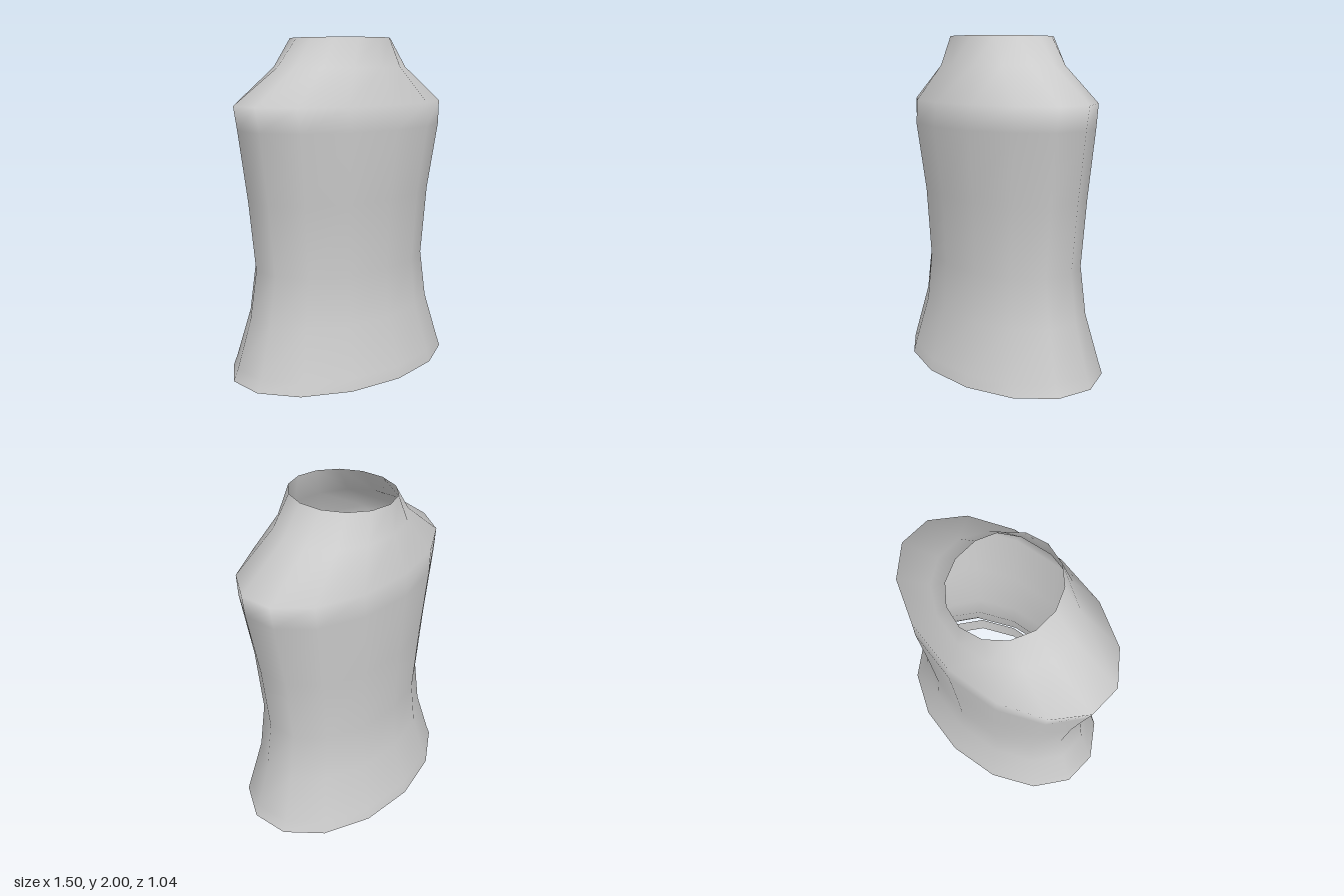
import * as THREE from 'three';

const SIDES = 14;
// A ring vertex sits just off the x axis, so the half-width is a little less than the ellipse radius.
const WIDEST = Math.cos(Math.PI / SIDES);

// Open shell lofted through elliptical rings: [y, half width, front z, back depth]
function loft(rings) {
  const positions = [], index = [];
  for (const [y, halfWidth, front, back] of rings) {
    const rx = halfWidth / WIDEST, rz = (front + back) / 2, cz = (front - back) / 2;
    for (let j = 0; j < SIDES; j++) {
      const a = (j / SIDES) * Math.PI * 2;
      positions.push(rx * Math.sin(a), y, cz + rz * Math.cos(a));
    }
  }
  for (let r = 0; r < rings.length - 1; r++) {
    for (let j = 0; j < SIDES; j++) {
      const k = (j + 1) % SIDES;
      const a = r * SIDES + j, b = r * SIDES + k;
      index.push(a, b, b + SIDES, a, b + SIDES, a + SIDES);
    }
  }
  const geometry = new THREE.BufferGeometry();
  geometry.setAttribute('position', new THREE.Float32BufferAttribute(positions, 3));
  geometry.setIndex(index);
  geometry.computeVertexNormals();
  return geometry;
}

export function createModel() {
  const group = new THREE.Group();
  group.name = 'sleevelessTop';

  const cloth = new THREE.MeshStandardMaterial({ color: 0xcccccc, side: THREE.DoubleSide });
  cloth.name = 'light grey cloth';

  const add = (name, rings) => {
    const mesh = new THREE.Mesh(loft(rings), cloth);
    mesh.name = name;
    group.add(mesh);
  };

  // Flared hem, waist, chest, shoulders and open neck
  add('body', [
    [0, 0.75, 0.52, 0.52],
    [0.07, 0.72, 0.508, 0.505],
    [0.36, 0.635, 0.427, 0.422],
    [0.65, 0.59, 0.405, 0.4],
    [1.07, 0.635, 0.425, 0.42],
    [1.48, 0.702, 0.475, 0.445],
    [1.62, 0.725, 0.46, 0.44],
    [1.83, 0.42, 0.355, 0.35],
    [2, 0.28, 0.32, 0.32],
  ]);

  // Narrow band inside the hem
  add('innerBand', [
    [0.14, 0.59, 0.405, 0.405],
    [0.31, 0.585, 0.402, 0.402],
  ]);

  return group;
}
